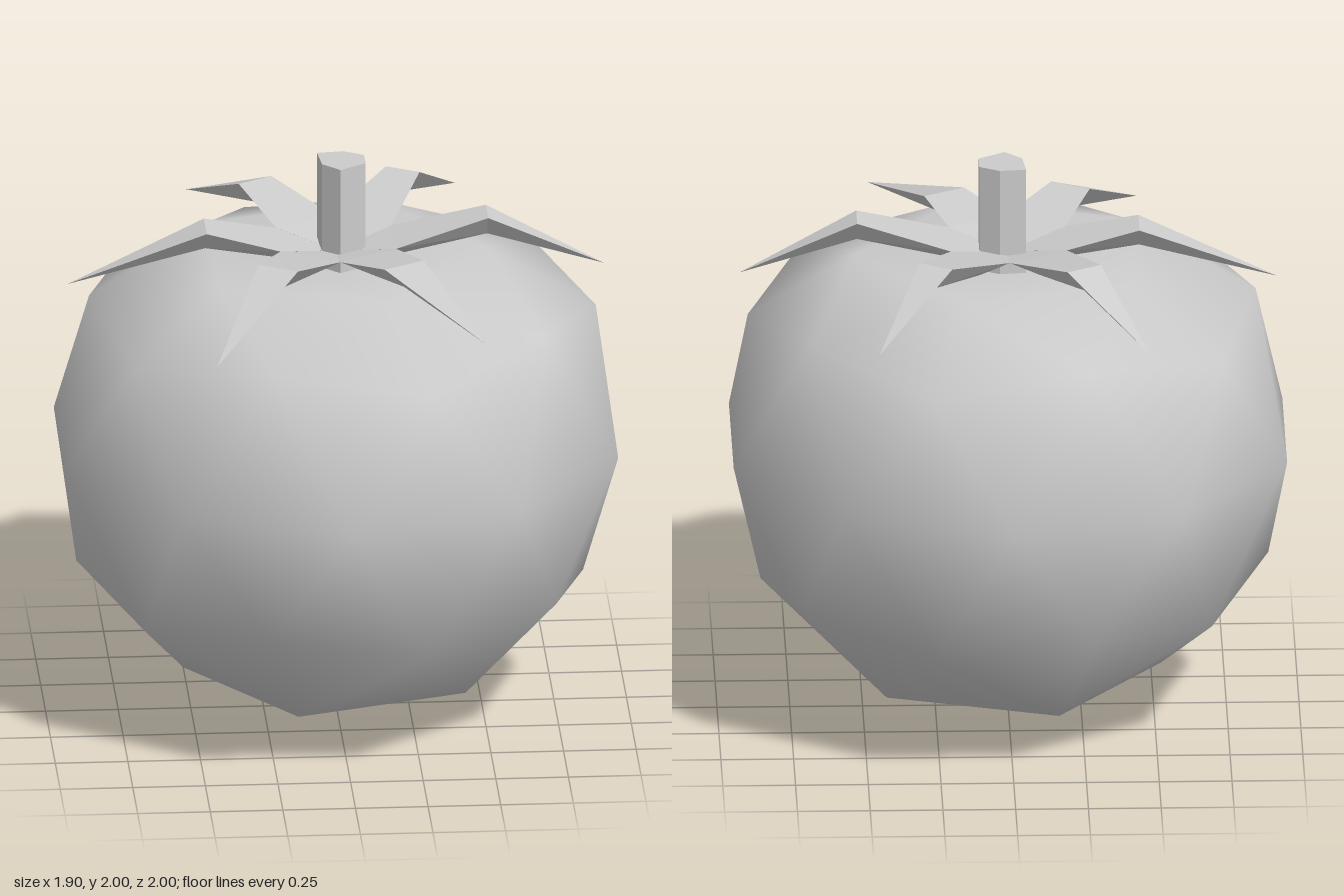
import * as THREE from 'three';
import { mergeVertices } from 'three/addons/utils/BufferGeometryUtils.js';

const smoothGrey = new THREE.MeshStandardMaterial({ color: 0xcccccc });
smoothGrey.name = 'plain grey';

// Low-poly sphere with its crown pressed flat and the pole dented in
function fruitGeometry() {
  let g = new THREE.IcosahedronGeometry(1, 1);
  g.deleteAttribute('normal');
  g.deleteAttribute('uv');
  g = mergeVertices(g, 1e-4);
  g.rotateZ(-Math.atan(2 / (1 + Math.sqrt(5))));
  const p = g.attributes.position;
  for (let i = 0; i < p.count; i++) {
    const y = p.getY(i);
    if (y > 0.95) p.setY(i, 0.55);
    else if (y > 0.8) p.setY(i, 0.665);
  }
  g.translate(0, 1, 0);
  g.computeVertexNormals();
  return g;
}

// One pointed sepal along +x: flat top, bent at the peak, keel below
function sepalGeometry(tipY, peakR, peakY) {
  const tipR = 0.925, baseR = 0.2, baseW = 0.115;
  const w = baseW * (tipR - peakR) / (tipR - baseR);
  const C = [0, 1.67, 0], T = [tipR, tipY, 0];
  const K0 = [baseR, 1.65, 0], K1 = [peakR, peakY - 0.08, 0];
  const V = s => [baseR, 1.715, s * baseW];
  const M = s => [peakR, peakY, s * w];
  const tris = [
    [C, V(1), V(-1)], [V(-1), V(1), M(1)], [V(-1), M(1), M(-1)], [M(-1), M(1), T],
  ];
  for (const s of [1, -1]) {
    const side = [[V(s), K1, M(s)], [V(s), K0, K1], [M(s), K1, T], [V(s), C, K0]];
    for (const t of side) tris.push(s > 0 ? t : t.reverse());
  }
  const g = new THREE.BufferGeometry();
  g.setAttribute('position', new THREE.Float32BufferAttribute(tris.flat(2), 3));
  g.computeVertexNormals();
  return g;
}

export function createModel() {
  const model = new THREE.Group();
  model.name = 'fruit';
  const add = (parent, name, geometry) => {
    const mesh = new THREE.Mesh(geometry, smoothGrey);
    mesh.name = name;
    parent.add(mesh);
    return mesh;
  };

  add(model, 'body', fruitGeometry());

  // Six-pointed calyx: tip height, peak radius, peak height
  const calyx = new THREE.Group();
  calyx.name = 'calyx';
  model.add(calyx);
  const sepals = [
    [1.60, 0.52, 1.80], [1.62, 0.42, 1.75], [1.56, 0.45, 1.76],
    [1.57, 0.45, 1.77], [1.60, 0.50, 1.77], [1.60, 0.52, 1.79],
  ];
  sepals.forEach((s, i) => {
    add(calyx, 'sepal' + (i + 1), sepalGeometry(...s)).rotation.y = -i * Math.PI / 3;
  });

  // Faceted stem, cross-section given as x, -z
  const outline = [[-0.05, -0.03], [0.01, -0.09], [0.1, -0.03], [0.1, 0.05], [0.03, 0.09], [-0.06, 0.08]];
  const shape = new THREE.Shape(outline.map(([x, y]) => new THREE.Vector2(x, y)));
  const stem = new THREE.ExtrudeGeometry(shape, { depth: 0.38, bevelEnabled: false });
  stem.rotateX(-Math.PI / 2).translate(0, 1.62, 0);
  add(model, 'stem', stem);

  return model;
}
